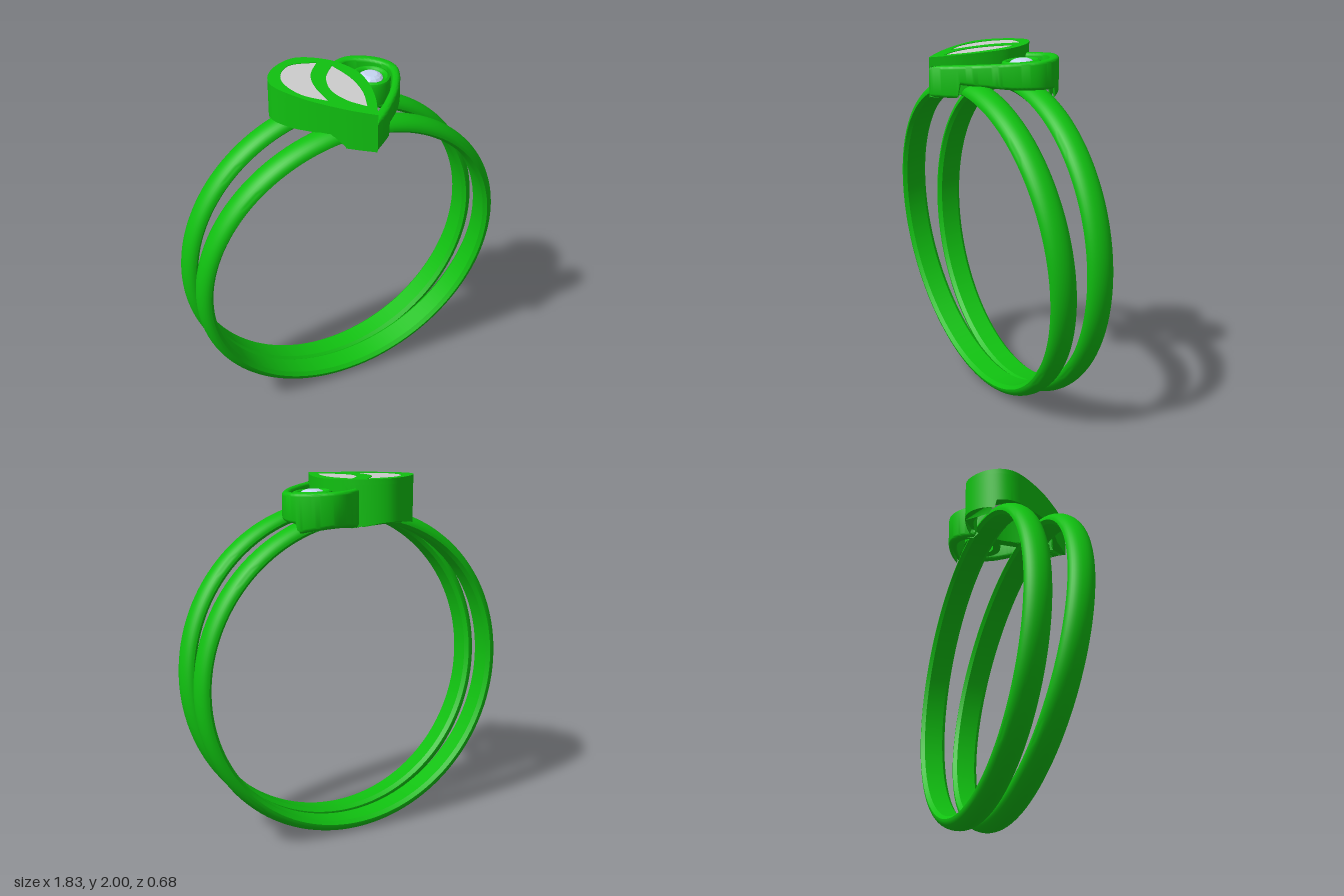
import * as THREE from 'three';
import { toCreasedNormals } from 'three/addons/utils/BufferGeometryUtils.js';

const metal = new THREE.MeshStandardMaterial({ color: 0x10c010, side: THREE.DoubleSide });
const inlayMat = new THREE.MeshStandardMaterial({ color: 0xcccccc });
const gemMat = new THREE.MeshStandardMaterial({ color: 0xc4d4f0, flatShading: true });

const SLOPE = 0.081;
const pearTop = (x, z) => 1.973 - SLOPE * z;
const loopTop = (x, z) => 1.925 - SLOPE * z;
// Underside of the head: drops at the front tip and at the back, lifted over the bands
const underside = (x, z) => {
  if (z > 0.22) return 1.735;
  if (z < -0.24) return 1.735 + (-0.24 - z) * 0.35;
  return 1.785 + Math.max(0, z) * 0.1;
};

const v2 = ([x, z]) => new THREE.Vector2(x, -z);

// Teardrop outline, tip first, running around the wide end and back to the tip
const outline = new THREE.SplineCurve([
  [0, 0.335], [-0.13, 0.22], [-0.28, 0.045], [-0.37, -0.14], [-0.31, -0.275], [-0.15, -0.345],
  [0.005, -0.265], [0.09, -0.13], [0.105, 0], [0.07, 0.17], [0, 0.335],
].map(v2)).getSpacedPoints(150);
const inset = (p, s = 0.79) => new THREE.Vector2(-0.13 + (p.x + 0.13) * s, 0.1 + (p.y - 0.1) * s);
const mirror = (p) => new THREE.Vector2(-p.x, p.y);

// Extrude a plan shape upward between two height functions
function slab(shape, bottom, top, bevel = 0) {
  const g = new THREE.ExtrudeGeometry(shape, {
    depth: 1, steps: 1, curveSegments: 16, bevelEnabled: bevel > 0,
    bevelThickness: bevel, bevelSize: bevel, bevelOffset: -bevel, bevelSegments: 4,
  });
  g.rotateX(-Math.PI / 2);
  const p = g.attributes.position;
  for (let i = 0; i < p.count; i++) {
    const x = p.getX(i), t = p.getY(i), z = p.getZ(i);
    const b = bottom(x, z) + bevel, h = top(x, z) - bevel;
    const k = THREE.MathUtils.clamp(t, 0, 1);
    p.setY(i, b + (h - b) * k + (t - k));
  }
  g.computeVertexNormals();
  return toCreasedNormals(g, 0.6);
}

// Leaf shape from two curved sides meeting at two corners
function leaf(sideA, sideB) {
  const s = new THREE.Shape();
  s.moveTo(...v2(sideA[0]).toArray());
  s.splineThru(sideA.slice(1).map(v2));
  s.splineThru(sideB.map(v2));
  return new THREE.Shape(s.getPoints(8).slice(0, -1));
}

// D-section band, tilted about x
function band(name, z, tilt) {
  const pts = [];
  for (let i = 0; i <= 16; i++) {
    const a = -Math.PI / 2 + (i / 16) * Math.PI;
    pts.push(new THREE.Vector2(0.86 + 0.054 * Math.cos(a), 0.075 * Math.sin(a)));
  }
  pts.push(new THREE.Vector2(0.842, 0.055), new THREE.Vector2(0.842, -0.055), pts[0].clone());
  const g = new THREE.LatheGeometry(pts, 128);
  g.rotateX(Math.PI / 2);
  const m = new THREE.Mesh(toCreasedNormals(g, 0.5), metal);
  m.name = name;
  m.position.set(0, 0.918, z);
  m.rotation.x = tilt;
  return m;
}

export function createModel() {
  const root = new THREE.Group();
  root.name = 'ring';
  const add = (name, geo, mat, parent = root) => {
    const m = new THREE.Mesh(geo, mat);
    m.name = name;
    parent.add(m);
    return m;
  };

  root.add(band('frontBand', 0.025, 0.12), band('backBand', -0.2, 0.039));

  // Raised teardrop: hollow wall, lid with two openings, inlays
  const closed = outline.slice(0, -1);
  const wall = new THREE.Shape(closed);
  wall.holes.push(new THREE.Path(closed.map((p) => inset(p))));
  add('teardropWall', slab(wall, underside, (x, z) => pearTop(x, z) - 0.03), metal);

  const leaves = [
    leaf([[-0.055, -0.255], [-0.19, -0.285], [-0.275, -0.225], [-0.305, -0.12], [-0.265, 0.015], [-0.165, 0.12]],
      [[-0.17, -0.025], [-0.14, -0.15], [-0.055, -0.255]]),
    leaf([[0.005, -0.195], [-0.075, -0.1], [-0.11, 0.025], [-0.08, 0.145], [-0.01, 0.24]],
      [[0.035, 0.1], [0.04, -0.05], [0.005, -0.195]]),
  ];
  const lid = new THREE.Shape(closed);
  leaves.forEach((l) => lid.holes.push(new THREE.Path(l.getPoints())));
  add('teardropLid', slab(lid, (x, z) => pearTop(x, z) - 0.03, pearTop), metal);
  leaves.forEach((l, i) => add(i ? 'innerInlay' : 'outerInlay',
    slab(l, (x, z) => pearTop(x, z) - 0.03, (x, z) => pearTop(x, z) - 0.003), inlayMat));

  // Lower open loop, the mirrored teardrop ending against the raised one
  const arc = outline.slice(0, 104).map(mirror);
  const inner = outline.slice(0, 104).map((p) => mirror(inset(p))).reverse();
  add('openLoop', slab(new THREE.Shape([...arc, ...inner]), underside, loopTop, 0.018), metal);

  // Round setting with a faceted gem
  const setting = new THREE.Group();
  setting.name = 'gemSetting';
  setting.position.set(0.195, 1.93, -0.115);
  setting.rotation.x = SLOPE;
  root.add(setting);
  const bezel = [[0.066, -0.13], [0.108, -0.13], [0.108, -0.02], [0.102, -0.006], [0.09, 0],
    [0.078, -0.005], [0.068, -0.018], [0.066, -0.13]].map((p) => new THREE.Vector2(...p));
  add('bezel', toCreasedNormals(new THREE.LatheGeometry(bezel, 48), 0.7), metal, setting);
  const cut = [[0, -0.08], [0.067, -0.02], [0.067, -0.014], [0.055, -0.002], [0.036, 0.006], [0, 0.006]]
    .map((p) => new THREE.Vector2(...p));
  add('gem', new THREE.LatheGeometry(cut, 12), gemMat, setting);

  return root;
}
